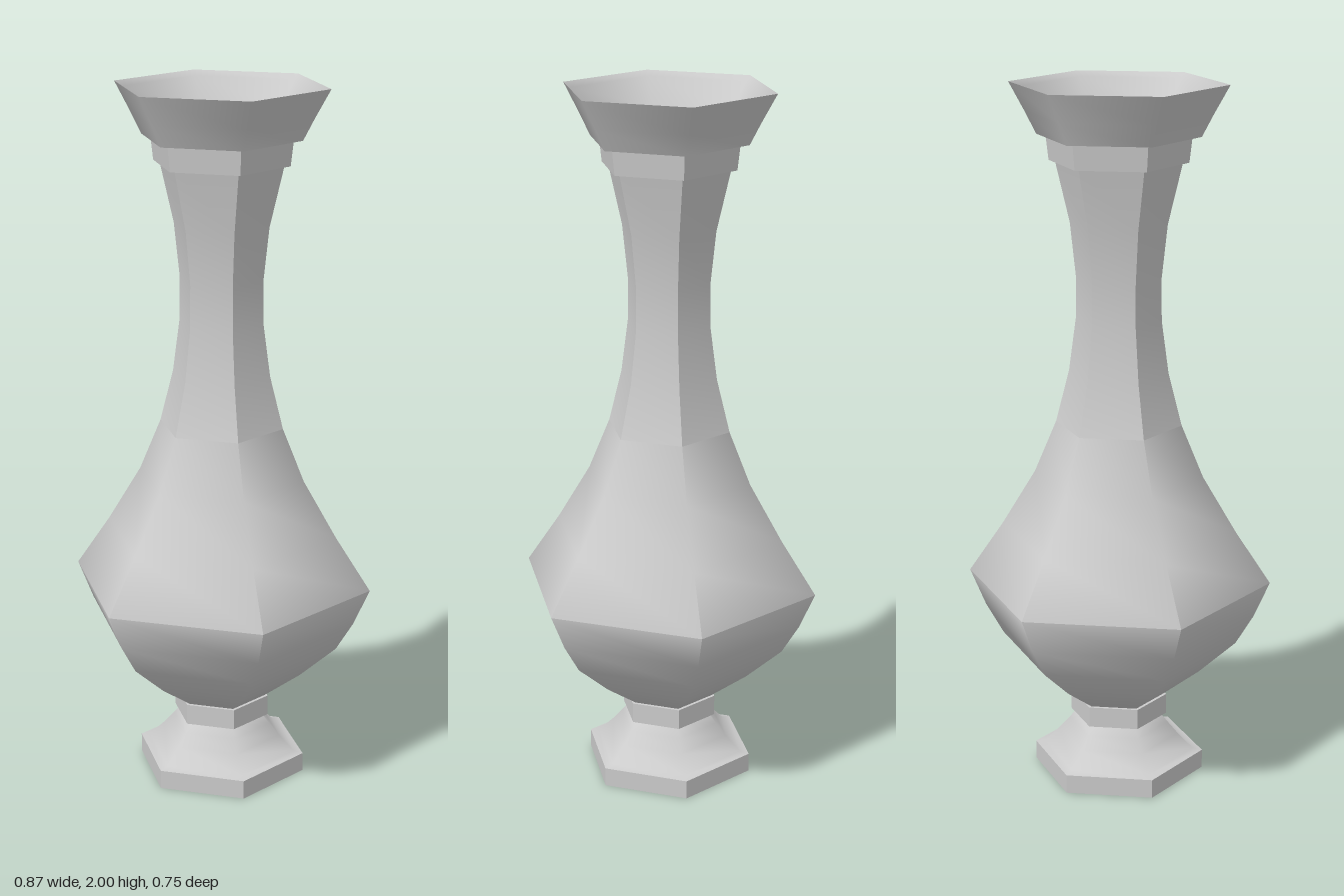
import * as THREE from 'three';
import { toCreasedNormals } from 'three/addons/utils/BufferGeometryUtils.js';

const material = new THREE.MeshStandardMaterial({ color: 0xcccccc });

// Six-sided turned part with a corner on +x; the profile is [radius, height] pairs.
function hexTurned(name, profile) {
  const points = profile.map(([r, y]) => new THREE.Vector2(r, y));
  const lathe = new THREE.LatheGeometry(points, 6, Math.PI / 2);
  const mesh = new THREE.Mesh(toCreasedNormals(lathe, 1.0), material);
  mesh.name = name;
  return mesh;
}

export function createModel() {
  const vase = new THREE.Group();
  vase.name = 'vase';

  // Stepped foot with a sloping shoulder
  vase.add(hexTurned('foot', [
    [0, 0], [0.247, 0], [0.247, 0.055], [0.22, 0.06],
    [0.175, 0.105], [0.145, 0.14], [0.12, 0.17], [0, 0.17],
  ]));

  // Ring between foot and belly
  vase.add(hexTurned('footRing', [
    [0, 0.168], [0.14, 0.168], [0.14, 0.228], [0, 0.228],
  ]));

  // Belly rising into the waisted neck
  vase.add(hexTurned('body', [
    [0, 0.228], [0.13, 0.228], [0.235, 0.305], [0.34, 0.4], [0.39, 0.485], [0.435, 0.59],
    [0.335, 0.74], [0.24, 0.9], [0.178, 1.05], [0.14, 1.2],
    [0.12, 1.35], [0.119, 1.47], [0.135, 1.62], [0.175, 1.79],
  ]));

  // Collar below the mouth
  vase.add(hexTurned('neckCollar', [
    [0.165, 1.79], [0.192, 1.79], [0.2, 1.86], [0.19, 1.86],
  ]));

  // Flared mouth, outside up to the thin rim
  vase.add(hexTurned('mouth', [
    [0.18, 1.86], [0.225, 1.86], [0.256, 1.92], [0.3, 2.0],
  ]));

  // Hollow inside, from the rim down through the neck to the floor
  vase.add(hexTurned('lining', [
    [0.3, 2.0], [0.285, 1.985], [0.235, 1.91], [0.19, 1.85], [0.145, 1.76], [0.11, 1.62],
    [0.092, 1.47], [0.093, 1.35], [0.113, 1.2], [0.15, 1.05], [0.21, 0.9], [0.305, 0.74],
    [0.4, 0.59], [0.31, 0.42], [0.21, 0.325], [0.12, 0.26], [0, 0.26],
  ]));

  return vase;
}
